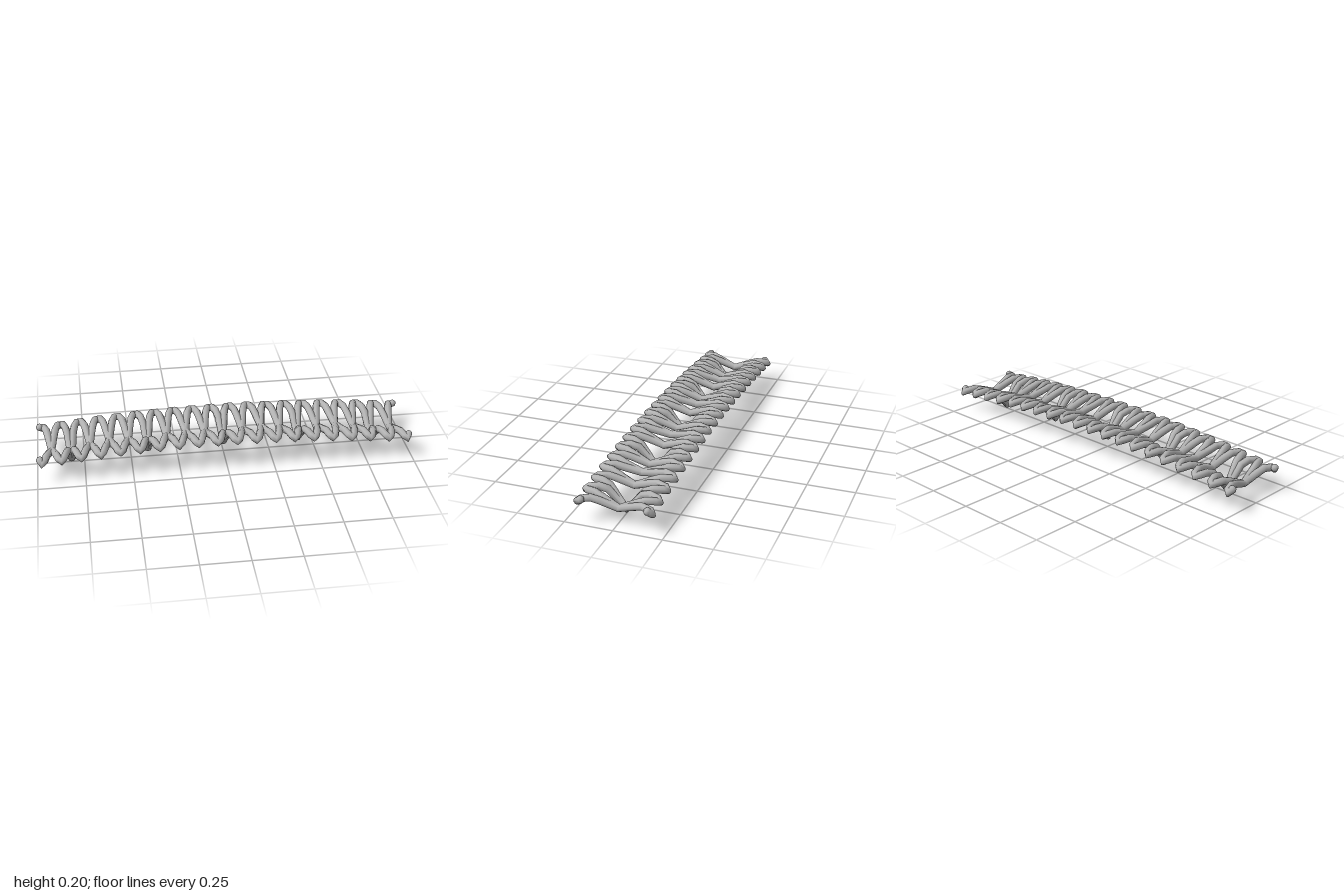
import * as THREE from 'three';

const PITCH = 0.1022; // spacing of the strand crossings
const RADIUS = 0.02;

// Polyline curve whose tube rings land exactly on the given points
class Polyline extends THREE.Curve {
  constructor(points) {
    super();
    this.points = points;
  }
  getPoint(t, target = new THREE.Vector3()) {
    const last = this.points.length - 1;
    const f = Math.min(Math.max(t, 0), 1) * last;
    const i = Math.min(Math.floor(f + 1e-9), last - 1);
    return target.lerpVectors(this.points[i], this.points[i + 1], f - i);
  }
  getPointAt(t, target) { return this.getPoint(t, target); }
  getTangentAt(t, target = new THREE.Vector3()) {
    const last = this.points.length - 1;
    const i = Math.round(t * last);
    const p = this.points;
    const dir = (a, b) => p[b].clone().sub(p[a]).normalize();
    target.set(0, 0, 0);
    if (i > 0) target.add(dir(i - 1, i));
    if (i < last) target.add(dir(i, i + 1));
    return target.normalize();
  }
}

// Height of the crossing: every fourth one hangs down as a long point
function crossingHeight(n) {
  const k = Math.abs(n) % 4;
  return k === 0 ? 0.06 : k === 2 ? 0.142 : 0.13;
}

// Zigzag path of one strand; side = 1 or -1 mirrors it in z
function strandPoints(side) {
  // x offset from the crossing, z, height
  const half = [[0.016, 0.09, 0.165], [0.025, 0.132, 0.179], [0.038, 0.175, 0.175]];
  const points = [];
  const add = (x, y, z) => points.push(new THREE.Vector3(x, y - 0.06 * x * x, z * side));
  add(-0.98, 0.183, 0.17);
  for (let n = -9; n <= 9; n++) {
    const x = n * PITCH;
    const s = n % 2 === 0 ? 1 : -1;
    add(x - PITCH / 2, 0.166, -s * 0.19);
    for (const [dx, z, y] of [...half].reverse()) add(x - dx, y, -s * z);
    add(x, crossingHeight(n), 0);
    for (const [dx, z, y] of half) add(x + dx, y, s * z);
  }
  add(9.5 * PITCH, 0.166, -0.19);
  add(0.98, 0.183, -0.17);
  return points;
}

export function createModel() {
  const model = new THREE.Group();
  model.name = 'wovenCoil';
  const grey = new THREE.MeshStandardMaterial({ color: 0xb4b4b4 });
  grey.name = 'light grey';

  for (const side of [1, -1]) {
    const strand = new THREE.Group();
    strand.name = side > 0 ? 'firstStrand' : 'secondStrand';
    const points = strandPoints(side);
    // start and finish on the same side as the neighbouring bend
    points[0].z = Math.sign(points[1].z) * 0.17;
    points[points.length - 1].z = Math.sign(points[points.length - 2].z) * 0.17;

    const wire = new THREE.Mesh(
      new THREE.TubeGeometry(new Polyline(points), points.length - 1, RADIUS, 8, false), grey);
    wire.name = 'wire';
    strand.add(wire);

    // rounded ends
    for (const p of [points[0], points[points.length - 1]]) {
      const end = new THREE.Mesh(new THREE.SphereGeometry(RADIUS, 8, 6), grey);
      end.name = 'wireEnd';
      end.position.copy(p);
      strand.add(end);
    }
    model.add(strand);
  }
  return model;
}
